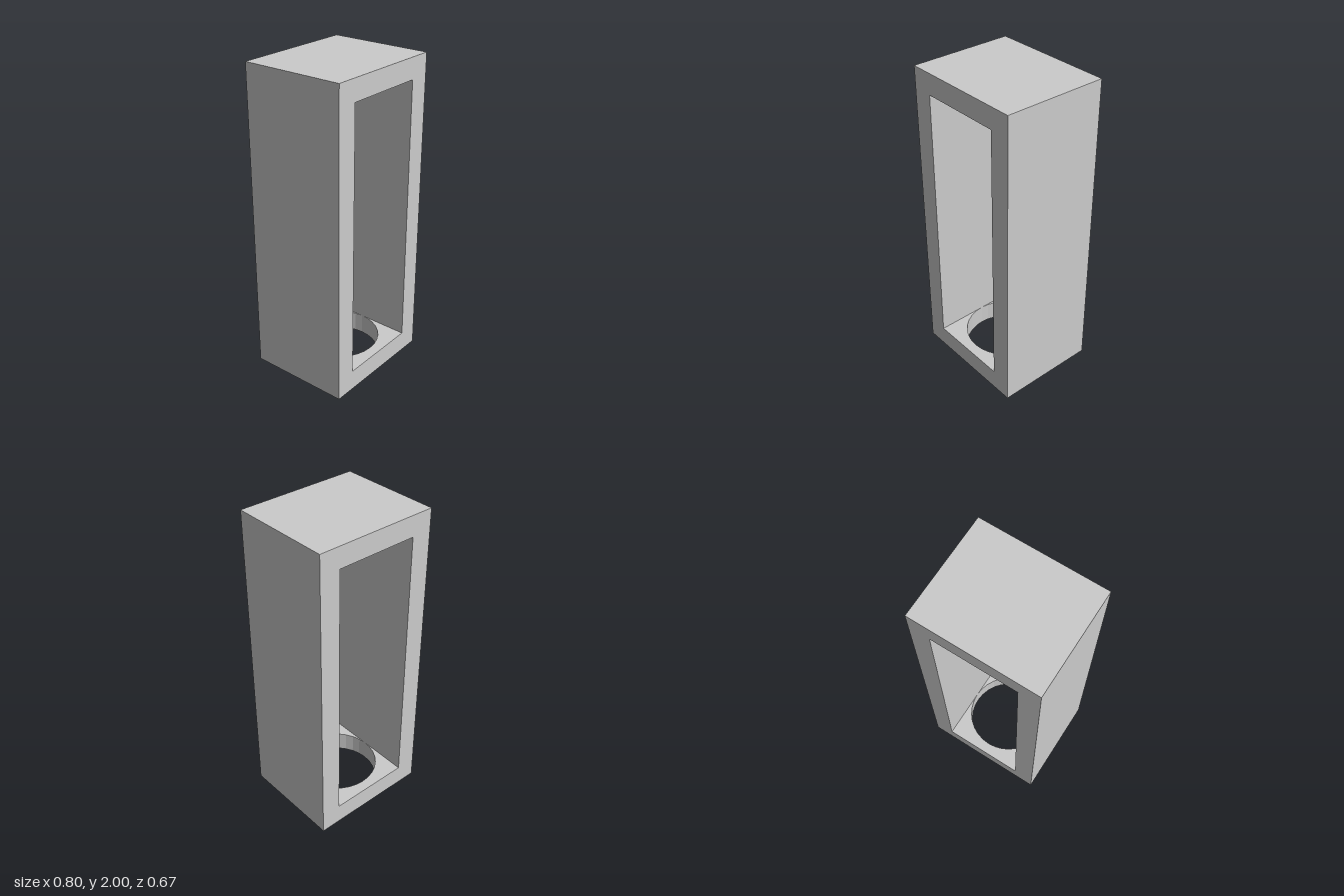
import * as THREE from 'three';

const W = 0.8, H = 2, D = 2 / 3, T = 0.4 / 3; // outer size and wall thickness
const HOLE_RADIUS = W / 2 - T, HOLE_SIDES = 32;

const polygon = (pairs) => pairs.map(([x, y]) => new THREE.Vector2(x, y));

export function createModel() {
  const group = new THREE.Group();
  group.name = 'openFrame';
  const material = new THREE.MeshStandardMaterial({ color: 0xcccccc, flatShading: true });
  const add = (name, geometry) => {
    const mesh = new THREE.Mesh(geometry, material);
    mesh.name = name;
    group.add(mesh);
  };

  // Base plate with a round through hole as wide as the opening
  const x = W / 2, z = D / 2;
  const plate = new THREE.Shape(polygon([[-x, -z], [x, -z], [x, z], [-x, z]]));
  const circle = [];
  for (let i = 0; i < HOLE_SIDES; i++) {
    const a = (i / HOLE_SIDES) * Math.PI * 2;
    circle.push([Math.cos(a) * HOLE_RADIUS, Math.sin(a) * HOLE_RADIUS]);
  }
  plate.holes.push(new THREE.Path(polygon(circle)));
  const base = new THREE.ExtrudeGeometry(plate, { depth: T, bevelEnabled: false });
  base.rotateX(-Math.PI / 2);
  add('basePlate', base);

  // Side walls and roof as one arch, open at front and back
  const i = x - T;
  const arch = new THREE.Shape(polygon([
    [-x, T], [-i, T], [-i, H - T], [i, H - T], [i, T], [x, T], [x, H], [-x, H],
  ]));
  const walls = new THREE.ExtrudeGeometry(arch, { depth: D, bevelEnabled: false });
  walls.translate(0, 0, -z);
  add('wallsAndRoof', walls);

  return group;
}
